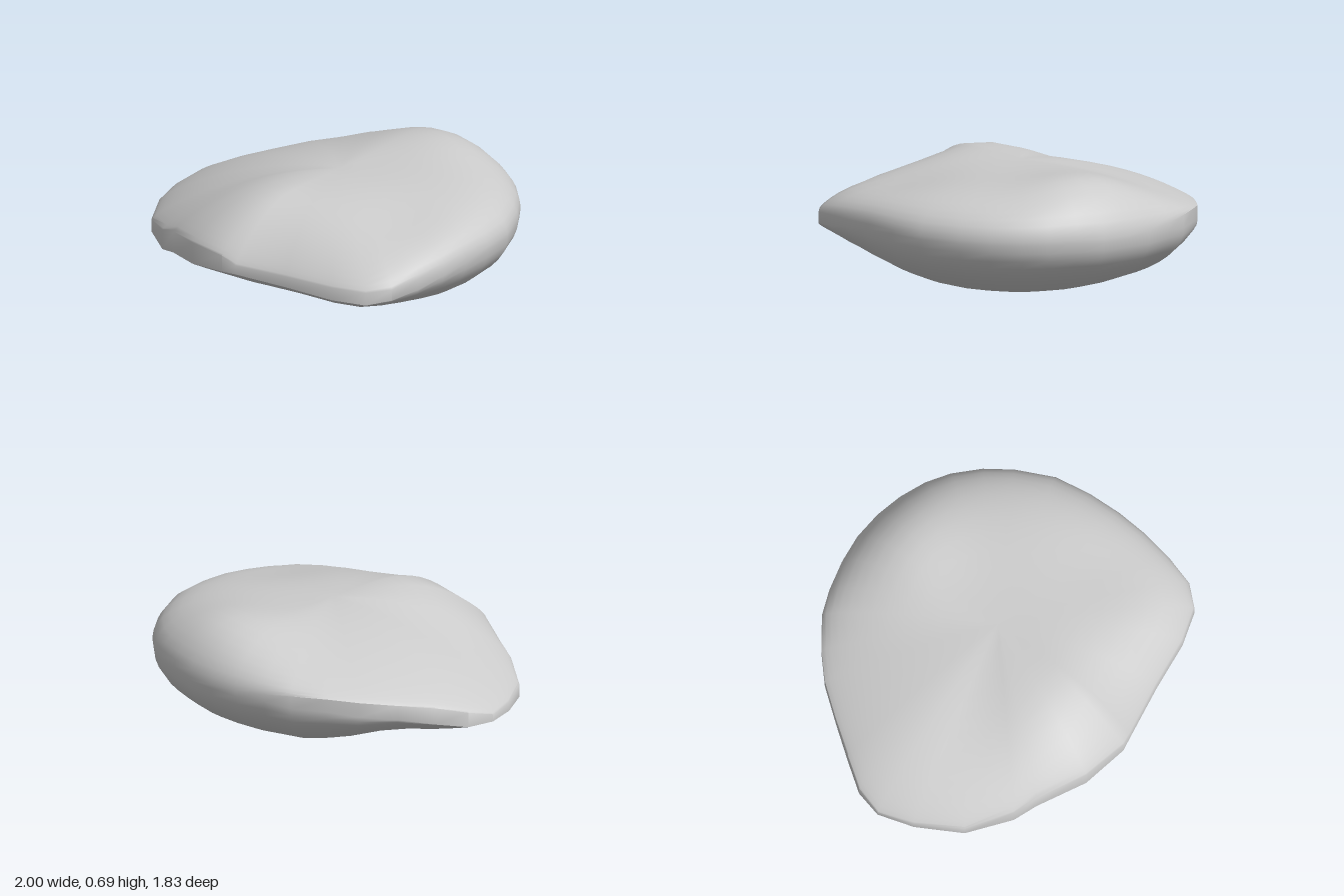
import * as THREE from 'three';
import { toCreasedNormals } from 'three/addons/utils/BufferGeometryUtils.js';

// Outline around the stone: x, z, lower rim height, upper rim height
const RIM = [
  [1, 0, .41, .43], [.97, -.22, .41, .43], [.92, -.38, .41, .43], [.84, -.53, .41, .43],
  [.75, -.64, .41, .43], [.63, -.74, .41, .43], [.5, -.82, .4, .42], [.35, -.88, .4, .42],
  [.2, -.91, .39, .42], [.03, -.92, .39, .43], [-.12, -.91, .37, .44], [-.3, -.85, .36, .43],
  [-.45, -.78, .33, .41], [-.62, -.66, .3, .38], [-.78, -.54, .26, .35], [-.92, -.43, .23, .31],
  [-1, -.3, .23, .27], [-1, -.1, .22, .27], [-.94, .16, .2, .27], [-.79, .38, .21, .32],
  [-.69, .47, .24, .36], [-.5, .68, .29, .41], [-.28, .81, .33, .42], [-.2, .82, .33, .38],
  [.1, .86, .32, .38], [.38, .91, .31, .38], [.57, .91, .31, .38], [.69, .84, .33, .39],
  [.78, .7, .35, .41], [.86, .54, .38, .42], [.92, .38, .4, .43], [.97, .2, .41, .43],
];
const CX = 0.06;
const RINGS = 14;
const { lerp, smoothstep } = THREE.MathUtils;

// Swellings and hollows of the upper face: x, z, height, spread
const RELIEF = [
  [.44, -.64, .07, .1],
  [.6, .42, -.05, .1],
  [-.15, .48, .03, .07],
];
const relief = (x, z) => RELIEF.reduce((sum, [cx, cz, h, w]) =>
  sum + h * Math.exp(-((x - cx) ** 2 + (z - cz) ** 2) / w), 0);

function stonePoint([rx, rz, low, high], t, upper) {
  const x = CX + (rx - CX) * t;
  const z = rz * t;
  // Underside: round bowl at the back and +x side, flatter cone elsewhere
  if (!upper) {
    const round = smoothstep((rx - rz) * 0.707, -0.3, 0.55);
    const bowl = 1 - Math.sqrt(Math.max(0, 1 - t * t));
    return [x, low * lerp(t ** 1.6, bowl, round), z];
  }
  // Upper face: blunt shoulder on the +x side, sloping to a sharp rim elsewhere
  const blunt = smoothstep(0.9 * rx - 0.45 * rz, 0.05, 0.7);
  const p = lerp(1.65, 3, smoothstep(rz + 0.4 * rx, -0.3, 0.6));
  const dome = lerp((1 - t ** p) ** 0.85, (1 - t ** 4) ** 0.5, blunt);
  return [x, lerp(high, 0.655, dome) + relief(x, z) * (1 - t ** 8), z];
}

function stoneGeometry() {
  const positions = [];
  const index = [];
  const n = RIM.length;
  // Rings run from the underside centre, over the rim, to the top centre
  const rows = 2 * RINGS + 2;
  for (let j = 0; j < rows; j++) {
    const upper = j > RINGS;
    const k = upper ? rows - 1 - j : j;
    const t = Math.sin((k / RINGS) * Math.PI / 2);
    for (const r of RIM) positions.push(...stonePoint(r, t, upper));
  }
  for (let j = 0; j < rows - 1; j++) {
    for (let i = 0; i < n; i++) {
      const a = j * n + i;
      const b = j * n + (i + 1) % n;
      if (j > 0) index.push(a, b, b + n);
      if (j < rows - 2) index.push(a, b + n, a + n);
    }
  }
  const geometry = new THREE.BufferGeometry();
  geometry.setAttribute('position', new THREE.Float32BufferAttribute(positions, 3));
  geometry.setIndex(index);
  return toCreasedNormals(geometry, 0.8);
}

export function createModel() {
  const group = new THREE.Group();
  const stone = new THREE.Mesh(
    stoneGeometry(),
    new THREE.MeshStandardMaterial({ color: 0xcccccc }),
  );
  stone.name = 'stone';
  group.add(stone);
  return group;
}
